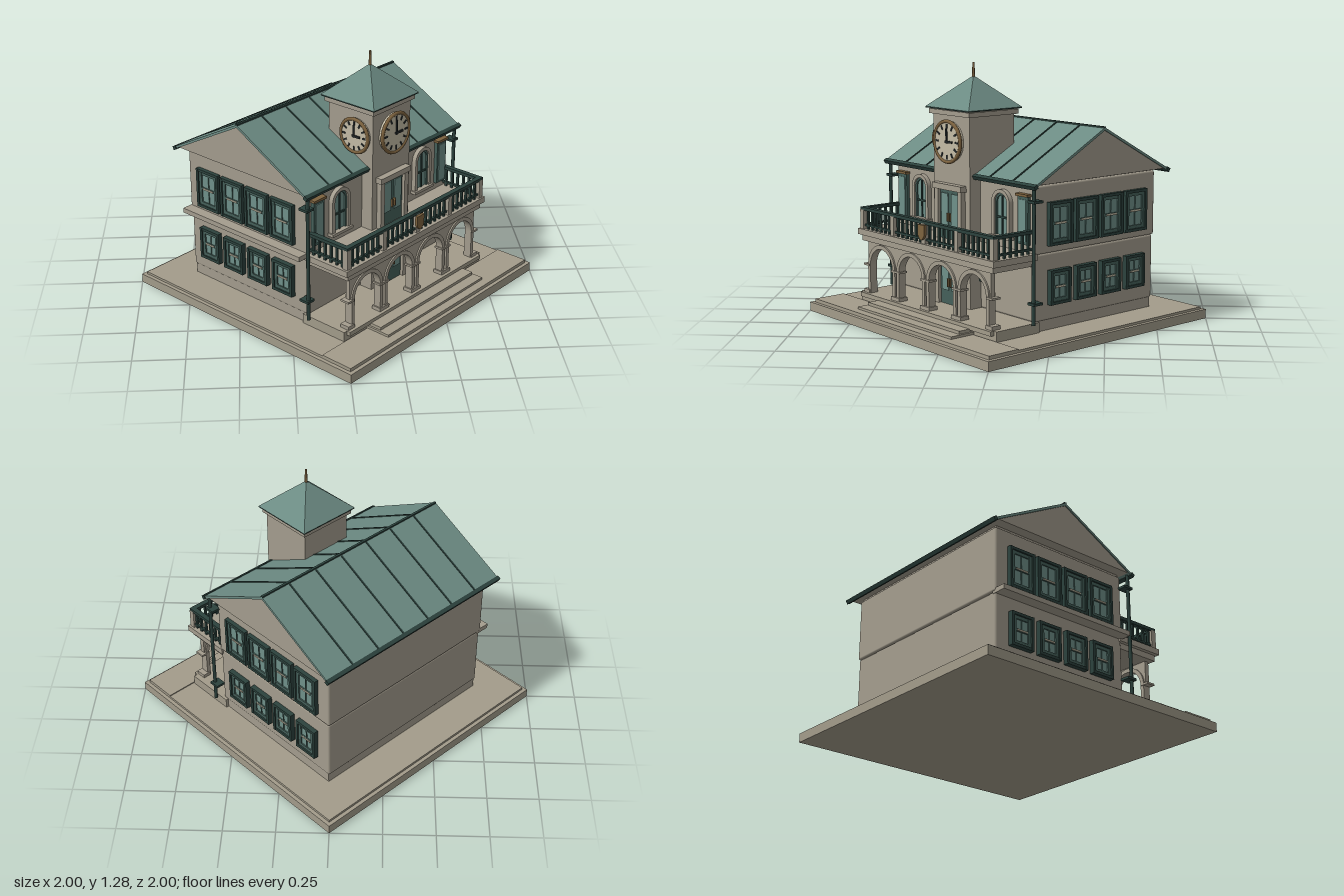
import * as THREE from 'three';
import { RoundedBoxGeometry } from 'three/addons/geometries/RoundedBoxGeometry.js';

const mat = (name, color) => Object.assign(new THREE.MeshStandardMaterial({ color }), { name });

export function createModel() {
  const M = {
    stone: mat('wall stone', 0xa49d8e), paving: mat('paving stone', 0xa39c8b),
    roof: mat('roof copper', 0x6c8b83), trim: mat('dark trim', 0x2c423d),
    frame: mat('window frame', 0x45605a), glass: mat('window glass', 0x6f918a),
    cream: mat('clock face', 0xc4bca6), bronze: mat('bronze', 0x7d633f),
    ink: mat('clock marks', 0x24292a),
  };
  const model = new THREE.Group();
  model.name = 'townHall';
  // The building faces diagonally across the frame
  const hall = new THREE.Group();
  hall.name = 'building';
  hall.rotation.y = Math.PI / 4;
  model.add(hall);

  const add = (parent, name, geo, m, x = 0, y = 0, z = 0) => {
    const mesh = new THREE.Mesh(geo, m);
    mesh.name = name;
    mesh.position.set(x, y, z);
    parent.add(mesh);
    return mesh;
  };
  // Box given by its ranges on each axis
  const span = (parent, name, m, x0, x1, y0, y1, z0, z1, r = 0) => {
    const s = [x1 - x0, y1 - y0, z1 - z0];
    const geo = r ? new RoundedBoxGeometry(...s, 2, r) : new THREE.BoxGeometry(...s);
    return add(parent, name, geo, m, (x0 + x1) / 2, (y0 + y1) / 2, (z0 + z1) / 2);
  };
  const group = (parent, name, x = 0, y = 0, z = 0, ry = 0) => {
    const g = new THREE.Group();
    g.name = name;
    g.position.set(x, y, z);
    g.rotation.y = ry;
    parent.add(g);
    return g;
  };
  const extrude = (shape, depth) =>
    new THREE.ExtrudeGeometry(shape, { depth, bevelEnabled: false, curveSegments: 16 });
  // Round-headed band; r = 0 makes a filled panel
  const archShape = (R, r, h) => {
    const s = new THREE.Shape();
    s.moveTo(-R, 0).lineTo(-R, h).absarc(0, h, R, Math.PI, 0, true).lineTo(R, 0);
    if (r) s.lineTo(r, 0).lineTo(r, h).absarc(0, h, r, 0, Math.PI, false).lineTo(-r, 0);
    return s;
  };

  // Ground slab, paving, porch floor and steps
  span(hall, 'groundSlab', M.paving, -0.707, 0.707, 0, 0.046, -0.707, 0.707);
  span(hall, 'groundTop', M.paving, -0.688, 0.688, 0.046, 0.058, -0.688, 0.688);
  span(hall, 'frontPaving', M.paving, -0.688, 0.688, 0.058, 0.063, 0.516, 0.688);
  span(hall, 'porchFloor', M.paving, -0.53, 0.53, 0.058, 0.107, 0.25, 0.51);
  span(hall, 'porchEdge', M.paving, -0.51, 0.51, 0.085, 0.107, 0.5, 0.53);
  span(hall, 'upperStep', M.paving, -0.36, 0.36, 0.058, 0.09, 0.5, 0.59);
  span(hall, 'lowerStep', M.paving, -0.37, 0.37, 0.058, 0.075, 0.5, 0.645);

  // House body
  span(hall, 'foundation', M.stone, -0.515, 0.515, 0.055, 0.115, -0.5, 0.27);
  span(hall, 'lowerStorey', M.stone, -0.52, 0.52, 0.107, 0.425, -0.508, 0.275, 0.01);
  span(hall, 'upperStorey', M.stone, -0.525, 0.525, 0.425, 0.745, -0.513, 0.278, 0.01);
  span(hall, 'eaveFrieze', M.stone, -0.515, 0.515, 0.735, 0.77, -0.5, 0.27);
  span(hall, 'sideLedge', M.stone, -0.58, -0.5, 0.414, 0.438, -0.51, 0.275);

  // Gable prism and the two roof slopes
  const gable = new THREE.Shape([new THREE.Vector2(-0.432, 0.757),
    new THREE.Vector2(0.432, 0.757), new THREE.Vector2(0, 0.983)]);
  add(hall, 'gable', extrude(gable, 1.136).translate(0, 0, -0.568).rotateY(Math.PI / 2), M.stone, 0, 0, -0.12);
  const slopeLen = Math.hypot(0.44, 0.235);
  for (const ry of [0, Math.PI]) {
    const turn = group(hall, ry ? 'backRoof' : 'frontRoof', 0, 0.99, -0.12, ry);
    const slope = group(turn, 'roofSlope');
    slope.rotation.x = Math.atan2(0.235, 0.44);
    span(slope, 'roofSheet', M.roof, -0.573, 0.573, -0.012, 0, 0, slopeLen);
    for (let i = 0; i < 6; i++) {
      const x = -0.41 + i * 0.164;
      span(slope, 'roofSeam', M.trim, x - 0.004, x + 0.004, -0.002, 0.004, 0.01, slopeLen - 0.005);
    }
    span(slope, 'gutter', M.trim, -0.578, 0.578, -0.016, 0.004, slopeLen - 0.012, slopeLen + 0.008);
  }
  span(hall, 'ridgeCap', M.trim, -0.573, 0.573, 0.984, 0.994, -0.126, -0.114);

  // Gable side windows, four on each storey
  const sideWindow = (parent, x, y, w, h) => {
    const g = group(parent, 'sideWindow', x, y, 0);
    const W = w / 2, H = h / 2, t = 0.014;
    span(g, 'windowPane', M.glass, -W + t, W - t, -H + t, H - t, 0, 0.012);
    for (const s of [-1, 1]) {
      span(g, 'windowJamb', M.trim, s * (W - t / 2) - t / 2, s * (W - t / 2) + t / 2, -H, H, 0, 0.026);
      span(g, 'windowRail', M.trim, -W, W, s * (H - t / 2) - t / 2, s * (H - t / 2) + t / 2, 0, 0.025);
      span(g, 'sashSide', M.frame, s * (W - 0.022) - 0.008, s * (W - 0.022) + 0.008, -H + t, H - t, 0, 0.019);
      span(g, 'sashRail', M.frame, -W + t, W - t, s * (H - 0.022) - 0.008, s * (H - 0.022) + 0.008, 0, 0.018);
    }
    span(g, 'windowMullion', M.frame, -0.003, 0.003, -H + t, H - t, 0, 0.016);
    span(g, 'windowBar', M.frame, -W + t, W - t, -0.006, 0.006, 0, 0.018);
    span(g, 'windowLatch', M.cream, -W * 0.45, W * 0.45, -0.004, 0.004, 0, 0.021);
  };
  for (const s of [-1, 1]) {
    const wall = group(hall, s < 0 ? 'rightWindows' : 'leftWindows', s * 0.521, 0, -0.12, s * Math.PI / 2);
    for (const k of [-1.5, -0.5, 0.5, 1.5]) {
      sideWindow(wall, k * 0.165, 0.563, 0.148, 0.205);
      sideWindow(wall, k * 0.165, 0.262, 0.13, 0.165);
    }
  }

  // Facade: arched windows, shutters, lanterns and downpipes on both halves
  for (const s of [-1, 1]) {
    const win = group(hall, 'archedWindow', s * 0.31, 0.49, 0.276);
    add(win, 'archSurround', extrude(archShape(0.064, 0.046, 0.155), 0.025), M.stone);
    add(win, 'archPane', extrude(archShape(0.047, 0, 0.155), 0.008), M.glass);
    add(win, 'archFrame', extrude(archShape(0.047, 0.036, 0.155), 0.016), M.frame);
    span(win, 'archMullion', M.trim, -0.004, 0.004, 0, 0.2, 0, 0.014);
    span(win, 'archBar', M.trim, -0.045, 0.045, 0.08, 0.09, 0, 0.014);
    span(win, 'archSill', M.stone, -0.072, 0.072, -0.015, 0, 0, 0.035);

    const x = s * 0.462;
    span(hall, 'shutter', M.frame, x - 0.036, x + 0.036, 0.47, 0.695, 0.27, 0.296);
    span(hall, 'shutterPanel', M.glass, x - 0.024, x + 0.024, 0.485, 0.68, 0.29, 0.3);
    span(hall, 'shutterCap', M.bronze, x - 0.042, x + 0.042, 0.695, 0.707, 0.27, 0.306);

    span(hall, 'lanternBracket', M.trim, s * 0.195 - 0.005, s * 0.195 + 0.005, 0.33, 0.34, 0.27, 0.33);
    add(hall, 'lantern', new THREE.CylinderGeometry(0.02, 0.013, 0.06, 6), M.trim, s * 0.195, 0.285, 0.32);
    add(hall, 'lanternCap', new THREE.ConeGeometry(0.024, 0.02, 6), M.trim, s * 0.195, 0.325, 0.32);

    add(hall, 'downpipe', new THREE.CylinderGeometry(0.009, 0.009, 0.65, 10), M.trim, s * 0.55, 0.43, 0.305);
    for (const y of [0.205, 0.68])
      span(hall, 'pipeClip', M.trim, s * 0.545 - 0.024, s * 0.545 + 0.024, y - 0.006, y + 0.006, 0.265, 0.318);
  }

  // Clock tower
  const TZ = 0.205, TW = 0.138, front = TZ + TW;
  span(hall, 'towerShaft', M.stone, -TW, TW, 0.107, 1.05, TZ - TW, front);
  span(hall, 'towerCornice', M.stone, -0.153, 0.153, 1.033, 1.056, TZ - 0.153, TZ + 0.153);
  span(hall, 'towerEave', M.trim, -0.165, 0.165, 1.06, 1.066, TZ - 0.165, TZ + 0.165);
  const cap = new THREE.ConeGeometry(0.235, 0.15, 4).rotateY(Math.PI / 4).toNonIndexed();
  cap.computeVertexNormals();
  add(hall, 'towerRoof', cap, M.roof, 0, 1.141, TZ);
  add(hall, 'finial', new THREE.CylinderGeometry(0.005, 0.008, 0.08, 8), M.bronze, 0, 1.24, TZ);

  // Clocks on the front and right faces
  const clock = (name, x, z, ry, r) => {
    const g = group(hall, name, x, 0.908, z, ry);
    add(g, 'clockDial', new THREE.CylinderGeometry(r, r, 0.024, 32).rotateX(Math.PI / 2), M.cream, 0, 0, 0.004);
    add(g, 'clockRim', new THREE.TorusGeometry(r, 0.009, 8, 40), M.bronze, 0, 0, 0.013);
    for (let i = 0; i < 12; i++) {
      const a = i * Math.PI / 6;
      const tick = add(g, 'hourMark', new THREE.BoxGeometry(0.009, r * 0.23, 0.004), M.ink,
        Math.sin(a) * r * 0.76, Math.cos(a) * r * 0.76, 0.017);
      tick.rotation.z = -a;
    }
    span(g, 'minuteHand', M.ink, -0.004, 0.004, -0.008, r * 0.66, 0.016, 0.022);
    span(g, 'hourHand', M.ink, -0.008, r * 0.45, -0.005, 0.005, 0.016, 0.023);
  };
  clock('frontClock', 0, front + 0.012, 0, 0.098);
  clock('sideClock', -TW - 0.006, TZ + 0.04, -Math.PI / 2, 0.083);

  // Tower doors on both storeys
  const door = (name, y0, y1, w) => {
    const g = group(hall, name, 0, 0, front);
    span(g, 'doorPanel', M.frame, -w, w, y0, y1, 0, 0.01);
    for (const s of [-1, 1]) {
      span(g, 'doorGlass', M.glass, s * w / 2 - w * 0.34, s * w / 2 + w * 0.34, y0 + 0.07, y1 - 0.02, 0.01, 0.015);
      span(g, 'doorPost', M.stone, s * (w + 0.013) - 0.014, s * (w + 0.013) + 0.014, y0, y1 + 0.02, 0, 0.026);
      span(g, 'doorHandle', M.bronze, s * 0.01 - 0.003, s * 0.01 + 0.003, y0 + 0.09, y0 + 0.13, 0.01, 0.024);
    }
    span(g, 'doorLintel', M.stone, -w - 0.035, w + 0.035, y1, y1 + 0.028, 0, 0.034);
  };
  door('groundDoor', 0.107, 0.345, 0.076);
  door('balconyDoor', 0.43, 0.675, 0.076);

  // Arcade of four arches
  const centres = [-0.36, -0.12, 0.12, 0.36], posts = [-0.48, -0.24, 0, 0.24, 0.48];
  const spandrel = new THREE.Shape().moveTo(-0.48, 0);
  for (const x of centres) {
    add(hall, 'arcadeArch', extrude(archShape(0.113, 0.093, 0.145), 0.04), M.stone, x, 0.107, 0.468);
    spandrel.lineTo(x - 0.1, 0).absarc(x, 0, 0.1, Math.PI, 0, true);
  }
  spandrel.lineTo(0.48, 0).lineTo(0.48, 0.12).lineTo(-0.48, 0.12);
  add(hall, 'arcadeWall', extrude(spandrel, 0.024), M.stone, 0, 0.252, 0.476);
  for (const x of posts) {
    const w = Math.abs(x) > 0.4 ? 0.022 : 0.034;
    span(hall, 'pillarBase', M.stone, x - w, x + w, 0.107, 0.125, 0.462, 0.514);
    span(hall, 'pillarCapital', M.stone, x - w, x + w, 0.246, 0.256, 0.464, 0.512);
  }

  // Balcony slab and railing
  span(hall, 'balconyBeam', M.stone, -0.51, 0.51, 0.372, 0.402, 0.26, 0.515);
  span(hall, 'balconySlab', M.stone, -0.53, 0.53, 0.402, 0.432, 0.26, 0.527);
  for (const x of [-0.505, -0.25, 0, 0.25, 0.505])
    span(hall, 'railPost', M.stone, x - 0.014, x + 0.014, 0.432, 0.53, 0.491, 0.519);
  for (const [y, h, d] of [[0.534, 0.008, 0.013], [0.452, 0.005, 0.007]]) {
    span(hall, 'frontRail', M.trim, -0.518, 0.518, y - h, y + h, 0.505 - d, 0.505 + d);
    for (const s of [-1, 1])
      span(hall, 'sideRail', M.trim, s * 0.505 - d, s * 0.505 + d, y - h, y + h, 0.278, 0.505);
  }
  const bar = new THREE.BoxGeometry(0.011, 0.1, 0.011);
  for (let i = -13; i <= 13; i++) add(hall, 'baluster', bar, M.trim, i * 0.036, 0.482, 0.505);
  for (const s of [-1, 1])
    for (let i = 0; i < 6; i++) add(hall, 'baluster', bar, M.trim, s * 0.505, 0.482, 0.3 + i * 0.036);
  // Plain bronze shield on the railing
  const shield = new THREE.Shape().moveTo(-0.026, 0.035).lineTo(0.026, 0.035).lineTo(0.026, -0.008)
    .quadraticCurveTo(0.022, -0.03, 0, -0.04).quadraticCurveTo(-0.022, -0.03, -0.026, -0.008);
  add(hall, 'railShield', extrude(shield, 0.014), M.bronze, 0, 0.49, 0.518);

  return model;
}
